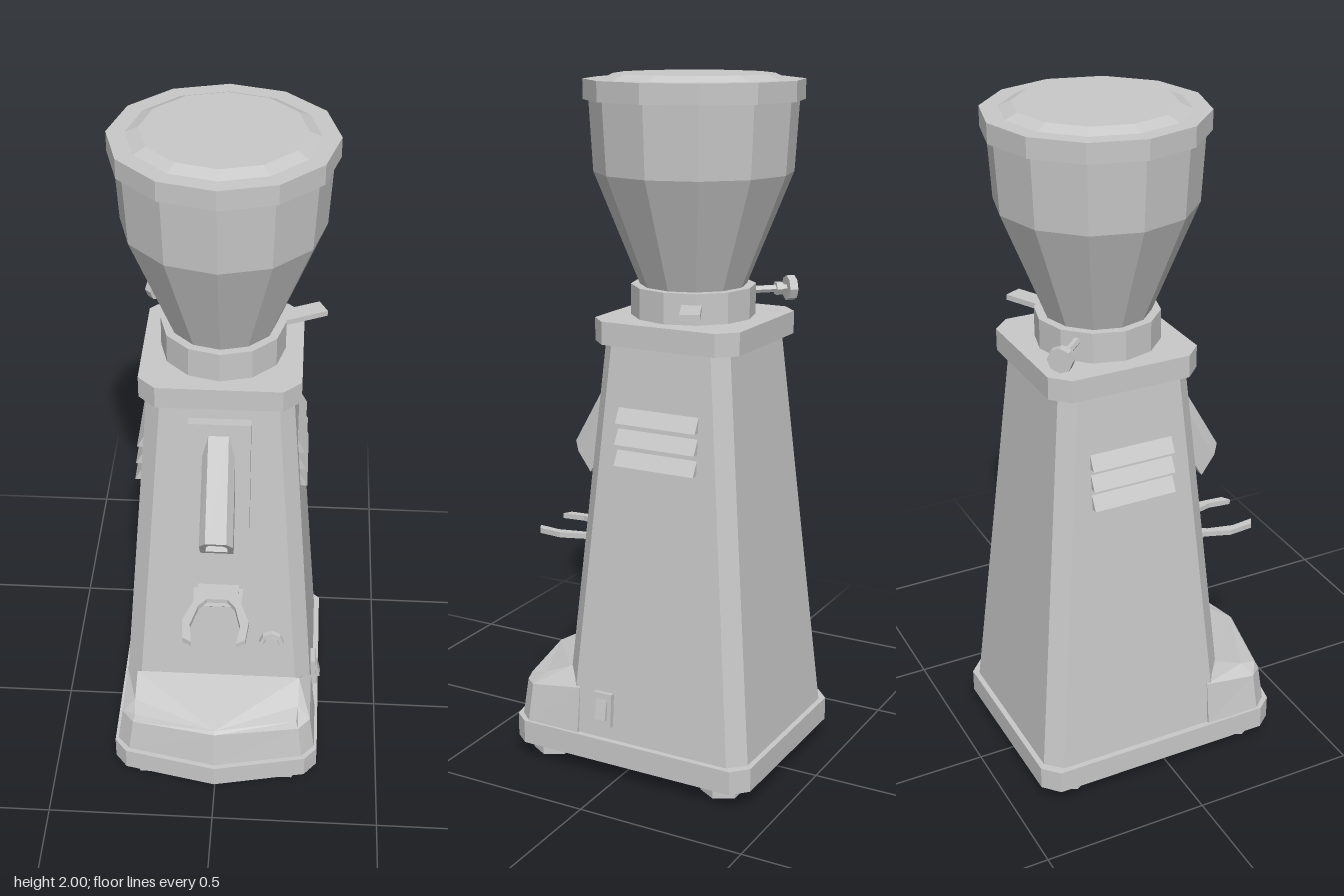
import * as THREE from 'three';

const metal = new THREE.MeshStandardMaterial({ color: 0xc8c8c8 });
metal.name = 'grey metal';

const flat = (g) => {
  const out = g.index ? g.toNonIndexed() : g;
  out.computeVertexNormals();
  return out;
};

// Skin a stack of rings (counter-clockwise from above) and cap both ends with fans.
function loft(rings) {
  const p = [];
  const tri = (a, b, c) => p.push(...a, ...b, ...c);
  const n = rings[0].length;
  for (let r = 0; r < rings.length - 1; r++) {
    for (let i = 0; i < n; i++) {
      const j = (i + 1) % n, lo = rings[r], hi = rings[r + 1];
      tri(lo[i], lo[j], hi[j]);
      tri(lo[i], hi[j], hi[i]);
    }
  }
  const first = rings[0], last = rings[rings.length - 1];
  for (let i = 1; i < n - 1; i++) {
    tri(first[0], first[i + 1], first[i]);
    tri(last[0], last[i], last[i + 1]);
  }
  const g = new THREE.BufferGeometry();
  g.setAttribute('position', new THREE.Float32BufferAttribute(p, 3));
  return g;
}

// Rectangle with cut corners at height y
const cutRect = (x, back, front, c, y) => [
  [x, y, front - c], [x, y, back + c], [x - c, y, back], [c - x, y, back],
  [-x, y, back + c], [-x, y, front - c], [c - x, y, front], [x - c, y, front],
];

// Half outline from the front centre round to the back, mirrored to a full ring
const mirrorRing = (half) => [
  ...half, ...half.slice(1).reverse().map(([x, y, z]) => [-x, y, z]),
];

export function createModel() {
  const model = new THREE.Group();
  const add = (name, geometry, x = 0, y = 0, z = 0, parent = model) => {
    const m = new THREE.Mesh(flat(geometry), metal);
    m.name = name;
    m.position.set(x, y, z);
    parent.add(m);
    return m;
  };
  const axisZ = -0.088; // centre line of collar and hopper
  const frontTilt = -0.083, sideTilt = 0.078;

  // Feet
  for (const x of [-0.205, 0.205]) {
    for (const z of [0.273, -0.297]) {
      add('foot', new THREE.CylinderGeometry(0.063, 0.063, 0.06, 6).rotateY(Math.PI / 6), x, 0.03, z);
    }
  }

  // Base plate with pointed front
  const baseRing = (y) => mirrorRing([
    [0, y, 0.412], [0.275, y, 0.355], [0.312, y, 0.31], [0.312, y, -0.37], [0.265, y, -0.413],
  ]);
  add('basePlate', loft([baseRing(0.05), baseRing(0.12)]));

  // Tapered body and its cap
  add('body', loft([
    cutRect(0.295, -0.397, 0.2, 0.045, 0.12),
    cutRect(0.205, -0.287, 0.1, 0.04, 1.28),
  ]));
  add('bodyCap', loft([
    cutRect(0.226, -0.32, 0.13, 0.05, 1.27),
    cutRect(0.226, -0.32, 0.13, 0.05, 1.335),
  ]));

  // Sloping front step
  add('frontStep', loft([
    mirrorRing([[0, 0.12, 0.397], [0.265, 0.12, 0.343], [0.303, 0.12, 0.3], [0.303, 0.12, 0.13]]),
    mirrorRing([[0, 0.24, 0.384], [0.252, 0.228, 0.332], [0.287, 0.232, 0.293], [0.287, 0.255, 0.13]]),
    mirrorRing([[0, 0.25, 0.376], [0.245, 0.25, 0.322], [0.25, 0.262, 0.27], [0.25, 0.298, 0.185]]),
  ]));

  // Collar, hopper and lid share twelve sides
  const lathe = (name, profile) => add(name,
    new THREE.LatheGeometry(profile.map(([r, y]) => new THREE.Vector2(r, y)), 12), 0, 0, axisZ);
  lathe('collar', [[0, 1.33], [0.176, 1.33], [0.176, 1.422], [0, 1.422]]);
  lathe('hopper', [[0, 1.41], [0.15, 1.42], [0.278, 1.735], [0.29, 1.94], [0, 1.94]]);
  lathe('lid', [[0, 1.93], [0.305, 1.93], [0.305, 1.985], [0.255, 1.985], [0.22, 2], [0, 2]]);

  // Thumb screw, reaching out diagonally to the back
  const screw = new THREE.Group();
  screw.name = 'thumbScrew';
  screw.position.set(0, 1.395, axisZ);
  screw.rotation.y = Math.PI * 0.75;
  model.add(screw);
  add('screwRod', new THREE.CylinderGeometry(0.011, 0.011, 0.14, 6).rotateZ(Math.PI / 2), 0.22, 0, 0, screw);
  add('screwCollar', new THREE.CylinderGeometry(0.02, 0.02, 0.02, 6).rotateZ(Math.PI / 2), 0.255, 0, 0, screw);
  add('screwKnob', new THREE.CylinderGeometry(0.036, 0.036, 0.024, 8).rotateZ(Math.PI / 2), 0.29, 0, 0, screw);

  // Adjusting lever on the collar
  const lever = new THREE.Group();
  lever.name = 'adjustingLever';
  lever.position.set(0, 1.383, axisZ);
  lever.rotation.y = 0.45;
  model.add(lever);
  add('leverBar', new THREE.BoxGeometry(0.17, 0.016, 0.055), 0.225, 0, 0, lever);

  // Chute panel and hollow slanted chute
  add('chutePanel', new THREE.BoxGeometry(0.175, 0.37, 0.05), 0.002, 1.037, 0.128).rotation.x = frontTilt;
  const section = [[0.03, 0], [0.048, 0.3], [0.048, 1], [-0.048, 1], [-0.048, 0.3], [-0.03, 0]];
  const chuteRing = (front, back, s) => section.map(([x, t]) => {
    const k = 0.5 + (t - 0.5) * s;
    return [x * s, front[0] + (back[0] - front[0]) * k, front[1] + (back[1] - front[1]) * k];
  });
  add('chute', loft([
    chuteRing([0.99, 0.252], [0.905, 0.192], 0.65),
    chuteRing([0.92, 0.29], [0.835, 0.23], 0.65),
    chuteRing([0.92, 0.29], [0.835, 0.23], 1),
    chuteRing([1.193, 0.14], [1.108, 0.07], 0.95),
  ]));

  // Fork rest and the bracket under it
  const half = [[0.06, 0.13], [0.062, 0.21], [0.097, 0.31], [0.09, 0.385], [0.064, 0.4],
    [0.073, 0.33], [0.054, 0.25], [0.03, 0.22]];
  const outline = [...half, ...half.slice().reverse().map(([x, z]) => [-x, z])];
  add('forkRest', new THREE.ExtrudeGeometry(
    new THREE.Shape(outline.map(([x, z]) => new THREE.Vector2(x, z))),
    { depth: 0.016, bevelEnabled: false }).rotateX(Math.PI / 2), 0, 0.646, 0);
  add('forkBracket', loft([
    [[0.06, 0.57, 0.17], [0.06, 0.57, 0.13], [-0.06, 0.57, 0.13], [-0.06, 0.57, 0.17]],
    [[0.07, 0.632, 0.235], [0.075, 0.632, 0.13], [-0.075, 0.632, 0.13], [-0.07, 0.632, 0.235]],
  ]));

  // Round push button on the front
  const button = new THREE.Group();
  button.name = 'pushButton';
  button.position.set(0.162, 0.44, 0.172);
  button.rotation.x = frontTilt;
  model.add(button);
  add('buttonRing', new THREE.CylinderGeometry(0.036, 0.041, 0.028, 8).rotateX(Math.PI / 2), 0, 0, 0, button);
  add('buttonCore', new THREE.CylinderGeometry(0.024, 0.024, 0.04, 8).rotateX(Math.PI / 2), 0, 0, 0, button);

  // Power switch on the left side
  const power = new THREE.Group();
  power.name = 'powerSwitch';
  power.position.set(0.288, 0.21, 0.046);
  power.rotation.z = sideTilt;
  model.add(power);
  add('switchFrame', new THREE.BoxGeometry(0.03, 0.1, 0.06), 0, 0, 0, power);
  add('switchRocker', new THREE.BoxGeometry(0.03, 0.06, 0.034), 0.008, 0, 0, power).rotation.z = 0.12;

  // Wedge louvres on both sides
  for (const side of [1, -1]) {
    for (let i = 0; i < 3; i++) {
      const y = 0.935 + i * 0.06, x = 0.295 - 0.0776 * (y - 0.12);
      const wedge = new THREE.Shape([
        new THREE.Vector2(-0.02, 0), new THREE.Vector2(0.02, 0),
        new THREE.Vector2(-0.003, 0.042), new THREE.Vector2(-0.02, 0.042),
      ]);
      const g = new THREE.ExtrudeGeometry(wedge, { depth: 0.25, bevelEnabled: false }).translate(0, 0, -0.125);
      if (side < 0) g.rotateY(Math.PI);
      add('louvre', g, side * x, y, -0.095);
    }
  }
  return model;
}
